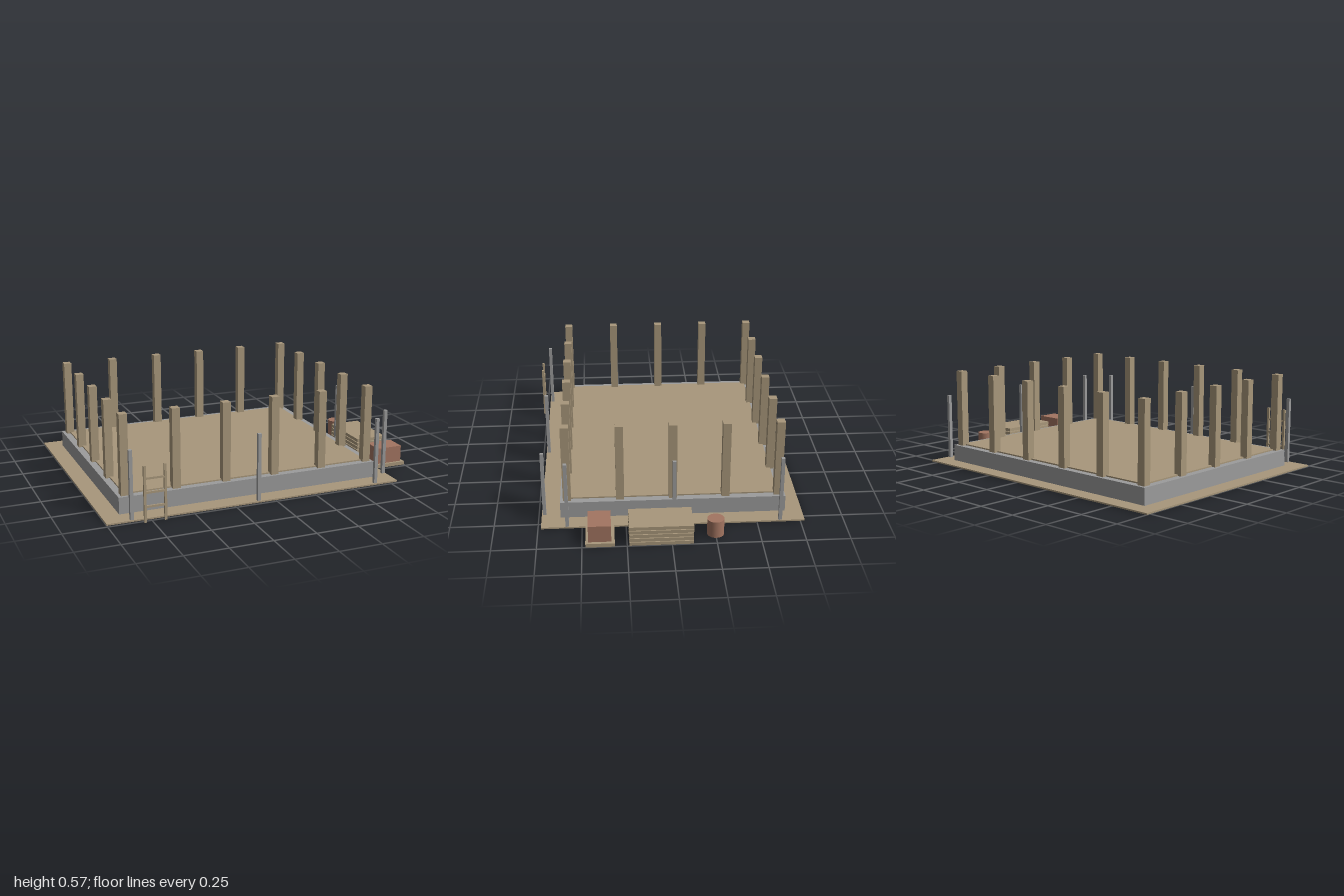
import * as THREE from 'three';

export function createModel() {
  const model = new THREE.Group();
  model.name = 'buildingSite';

  const timber = new THREE.MeshStandardMaterial({ color: 0xa8977b });
  timber.name = 'timber';
  const concrete = new THREE.MeshStandardMaterial({ color: 0x9c9c9c });
  concrete.name = 'concreteGrey';
  const brick = new THREE.MeshStandardMaterial({ color: 0xa37561 });
  brick.name = 'brickRed';

  // Box given by its minimum and maximum corners
  function box(name, mat, [x0, y0, z0], [x1, y1, z1], parent = model) {
    const mesh = new THREE.Mesh(new THREE.BoxGeometry(x1 - x0, y1 - y0, z1 - z0), mat);
    mesh.position.set((x0 + x1) / 2, (y0 + y1) / 2, (z0 + z1) / 2);
    mesh.name = name;
    parent.add(mesh);
    return mesh;
  }
  // Square upright centred on x, z
  function post(name, mat, x, z, size, y0, y1, parent) {
    const h = size / 2;
    return box(name, mat, [x - h, y0, z - h], [x + h, y1, z + h], parent);
  }
  function group(name) {
    const g = new THREE.Group();
    g.name = name;
    model.add(g);
    return g;
  }

  // Ground sheet
  box('ground', timber, [-1, 0, -0.775], [0.8, 0.009, 0.733]);

  // Foundation walls around the raised floor
  const walls = group('foundationWalls');
  const y0 = 0.004, y1 = 0.107;
  box('frontWall', concrete, [-0.898, y0, 0.581], [0.696, y1, 0.624], walls);
  box('backWall', concrete, [-0.898, y0, -0.676], [0.696, y1, -0.633], walls);
  box('leftWall', concrete, [0.653, y0, -0.633], [0.696, y1, 0.581], walls);
  box('rightWall', concrete, [-0.898, y0, -0.633], [-0.855, y1, 0.581], walls);
  box('floor', timber, [-0.856, 0.095, -0.634], [0.654, 0.115, 0.582]);

  // Timber columns along all four edges
  const columns = group('columns');
  const nx = 6, nz = 5;
  for (let i = 0; i < nx; i++) {
    for (let j = 0; j < nz; j++) {
      if (i > 0 && i < nx - 1 && j > 0 && j < nz - 1) continue;
      const x = -0.855 + i * 1.509 / (nx - 1);
      const z = -0.634 + j * 1.218 / (nz - 1);
      post('column', timber, x, z, 0.047, 0.1, 0.575, columns);
    }
  }

  // Scaffold poles on the front and left sides
  const poles = group('scaffoldPoles');
  for (const x of [-0.855, -0.1, 0.655]) post('pole', concrete, x, 0.717, 0.02, 0, 0.408, poles);
  for (const z of [-0.634, -0.025, 0.584]) post('pole', concrete, 0.786, z, 0.02, 0, 0.408, poles);

  // Ladder
  const ladder = group('ladder');
  for (const x of [-0.792, -0.675]) {
    box('ladderRail', timber, [x - 0.007, 0, 0.758], [x + 0.007, 0.325, 0.772], ladder);
  }
  for (const y of [0.09, 0.171, 0.252]) {
    box('ladderRung', timber, [-0.785, y - 0.006, 0.76], [-0.682, y + 0.006, 0.77], ladder);
  }

  // Stack of boards with gaps between the layers
  const stack = group('boardStack');
  for (let i = 0; i < 5; i++) {
    const y = i * 0.0243;
    box('board', timber, [0.801, y, -0.12], [0.997, y + 0.02, 0.238], stack);
  }

  // Brick load on a pallet
  box('pallet', timber, [0.801, 0, 0.318], [1, 0.022, 0.481]);
  box('brickLoad', brick, [0.816, 0.022, 0.337], [0.982, 0.122, 0.465]);

  // Barrel
  const barrel = new THREE.Mesh(new THREE.CylinderGeometry(0.048, 0.048, 0.1, 32), brick);
  barrel.position.set(0.899, 0.05, -0.25);
  barrel.name = 'barrel';
  model.add(barrel);

  return model;
}
